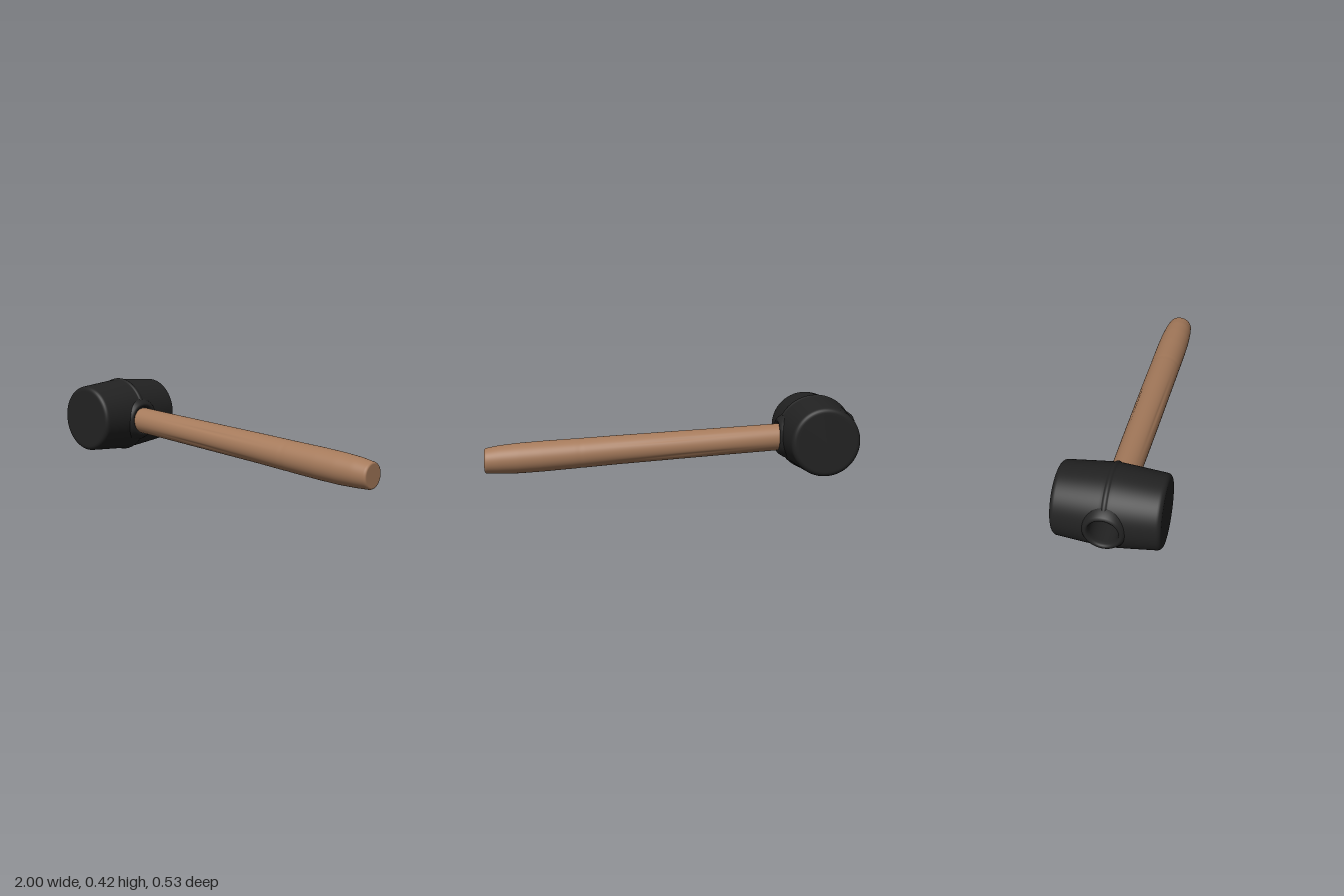
import * as THREE from 'three';
import { mergeVertices } from 'three/addons/utils/BufferGeometryUtils.js';

const rubber = new THREE.MeshStandardMaterial({ color: 0x222222 });
rubber.name = 'black rubber';
const wood = new THREE.MeshStandardMaterial({ color: 0xa57a5b });
wood.name = 'brown wood';

const HEAD = new THREE.Vector3(-0.79, 0.212, 0);

// Revolve [radius, height] pairs, listed bottom to top
function revolve(pairs, segments) {
  return new THREE.LatheGeometry(pairs.map(([r, h]) => new THREE.Vector2(r, h)), segments);
}

// Weld seams and recompute normals for a smooth surface
function smooth(geometry) {
  geometry.deleteAttribute('uv');
  geometry.deleteAttribute('normal');
  const welded = mergeVertices(geometry, 1e-5);
  welded.computeVertexNormals();
  return welded;
}

function part(name, geometry, material) {
  const mesh = new THREE.Mesh(geometry, material);
  mesh.name = name;
  return mesh;
}

// Barrel-shaped head along z, with a moulding rib round the middle
function headGeometry() {
  const half = [[0, 0.267], [0.15, 0.267], [0.16, 0.267]];
  for (let i = 1; i <= 6; i++) {
    const a = (i / 6) * Math.PI / 2;
    half.push([0.16 + 0.025 * Math.sin(a), 0.242 + 0.025 * Math.cos(a)]);
  }
  for (let i = 1; i <= 18; i++) {
    const z = THREE.MathUtils.lerp(0.242, 0.016, i / 18);
    half.push([0.205 - 0.02 * Math.pow(z / 0.242, 1.1), z]);
  }
  half.push([0.2055, 0.012], [0.2085, 0.008], [0.21, 0.004]);
  const profile = [
    ...half.map(([r, z]) => [r, -z]),
    [0.2105, 0],
    ...half.slice().reverse(),
  ];
  const geometry = smooth(revolve(profile, 96).rotateX(Math.PI / 2));

  // Open the left-hand wall where the socket goes in
  const p = geometry.attributes.position;
  const kept = [];
  const index = geometry.index.array;
  for (let i = 0; i < index.length; i += 3) {
    const c = new THREE.Vector3();
    for (let k = 0; k < 3; k++) {
      c.add(new THREE.Vector3().fromBufferAttribute(p, index[i + k]));
    }
    c.divideScalar(3);
    if (c.x > 0 || Math.hypot(c.y, c.z) > 0.088) kept.push(index[i], index[i + 1], index[i + 2]);
  }
  geometry.setIndex(kept);
  return geometry;
}

// Handle stations: x, centre height, half height, half width
const stations = [
  [-0.75, 0.201, 0.071, 0.073],
  [-0.58, 0.192, 0.073, 0.075],
  [-0.3, 0.176, 0.074, 0.079],
  [0.0, 0.159, 0.076, 0.082],
  [0.3, 0.142, 0.078, 0.084],
  [0.5, 0.129, 0.080, 0.085],
  [0.7, 0.117, 0.082, 0.086],
  [0.82, 0.110, 0.081, 0.084],
  [0.92, 0.105, 0.076, 0.078],
  [0.985, 0.100, 0.069, 0.070],
];

function stationAt(x) {
  let i = 0;
  while (i < stations.length - 2 && x > stations[i + 1][0]) i++;
  const a = stations[i], b = stations[i + 1];
  const t = Math.min(1, (x - a[0]) / (b[0] - a[0]));
  return [1, 2, 3].map((k) => THREE.MathUtils.lerp(a[k], b[k], t));
}

// Tapering oval handle, drooping toward the grip, with shallow wood cracks
function handleGeometry() {
  const profile = [[0, -0.75]];
  const steps = 140;
  for (let i = 0; i <= steps; i++) {
    profile.push([1, THREE.MathUtils.lerp(-0.75, 0.985, i / steps)]);
  }
  profile.push([0.985, 0.992], [0.95, 0.997], [0.89, 1], [0.82, 1], [0, 1]);
  const geometry = revolve(profile, 72).rotateZ(-Math.PI / 2);
  const p = geometry.attributes.position;
  const bump = (d, w) => Math.exp(-(d * d) / (w * w));
  for (let i = 0; i < p.count; i++) {
    const x = p.getX(i), y = p.getY(i), z = p.getZ(i);
    const [cy, hy, hz] = stationAt(x);
    const angle = Math.atan2(y, Math.abs(z));
    const along = bump(x + 0.03, 0.3);
    const upper = bump(angle - 0.62 + 0.12 * x, 0.07);
    const lower = bump(angle + 0.6 + 0.25 * x, 0.1);
    const ring = bump(x - 0.495, 0.008);
    const s = 1 - 0.045 * along * (upper + lower) - 0.015 * ring;
    p.setXYZ(i, x, cy + y * hy * s, z * hz * s);
  }
  return smooth(geometry);
}

export function createModel() {
  const model = new THREE.Group();
  model.name = 'mallet';

  const head = new THREE.Group();
  head.name = 'head';
  head.position.copy(HEAD);
  head.add(part('headBarrel', headGeometry(), rubber));

  // Raised lip and blind socket on the side away from the handle
  const lip = [[0.13, 0.14], [0.12, 0.168], [0.108, 0.19], [0.098, 0.203], [0.09, 0.2085], [0.084, 0.209]];
  const socket = revolve([...lip, [0.078, 0.205], [0.074, 0.195], [0.072, 0.18],
    [0.071, 0.04], [0.069, 0.035], [0, 0.035]], 48);
  head.add(part('socket', smooth(socket.rotateZ(Math.PI / 2)), rubber));

  // Matching collar where the handle enters
  const collar = revolve([...lip, [0.078, 0.206], [0.07, 0.198]], 48).rotateZ(-Math.PI / 2);
  const collarMesh = part('handleCollar', smooth(collar), rubber);
  collarMesh.position.y = -0.012;
  head.add(collarMesh);

  model.add(head, part('handle', handleGeometry(), wood));
  return model;
}
